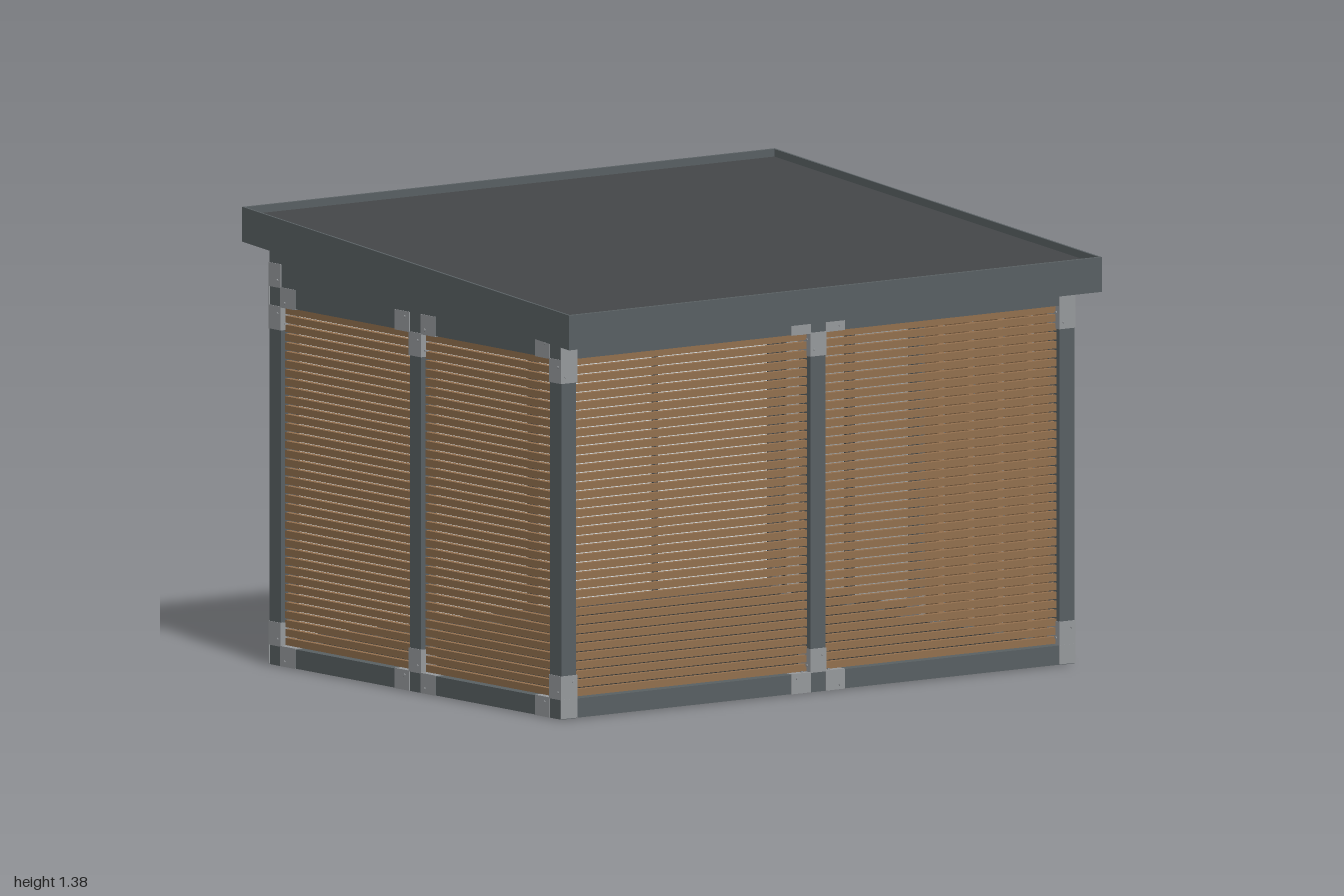
import * as THREE from 'three';

const mat = (color) => new THREE.MeshStandardMaterial({ color });

export function createModel() {
  const root = new THREE.Group();
  const frame = mat(0x5a6164), dark = mat(0x444648), steel = mat(0x989b9e);
  const wood = mat(0x94714f), glassMat = mat(0xdfe7ea), boardMat = mat(0x2e3131);
  const sash = mat(0x45494c);
  const T = 0.056;                 // post and beam thickness
  const X = 0.935, Z = 0.694;      // post centre lines
  const H = 1.115;                 // centre height of the top beams
  const SLOPE = -0.0864;           // roof rise per unit of z

  const group = (name, parent = root) => {
    const g = new THREE.Group();
    g.name = name;
    parent.add(g);
    return g;
  };

  // Box given by its extents; a slope shears it along z.
  const box = (name, parent, m, [x0, x1], [y0, y1], [z0, z1], slope = 0) => {
    const geo = new THREE.BoxGeometry(x1 - x0, y1 - y0, z1 - z0);
    geo.translate((x0 + x1) / 2, (y0 + y1) / 2, (z0 + z1) / 2);
    if (slope) {
      const p = geo.attributes.position;
      for (let i = 0; i < p.count; i++) p.setY(i, p.getY(i) + slope * p.getZ(i));
      geo.computeVertexNormals();
    }
    const mesh = new THREE.Mesh(geo, m);
    mesh.name = name;
    parent.add(mesh);
    return mesh;
  };
  const around = (c, w) => [c - w / 2, c + w / 2];

  // Posts
  const posts = group('posts');
  for (const s of [-1, 1]) {
    box('frontPost', posts, frame, around(s * X, T), [0, 1.142], around(Z, T));
    box('sidePost', posts, frame, around(s * X, T), [0, H], around(0, T));
    box('backPost', posts, frame, around(s * X, T), [0, 1.262], around(-Z, T));
  }
  box('frontMiddlePost', posts, frame, around(0, T), [0, H], around(Z, T));

  // Ring beams at floor and header level, with the raised beam at the back
  const beams = group('beams');
  for (const s of [-1, 1]) {
    for (const y of [0.03, H])
      box('longBeam', beams, frame, [-X, X], around(y, 0.058), around(s * Z, T));
    box('sideBeam', beams, frame, around(s * X, T), [0.001, 0.059], [-Z, Z]);
  }
  box('raisedBackBeam', beams, frame, [-X, X], [1.207, 1.262], around(-Z, T));

  // Side headers with their sloping infill in one flush piece
  for (const s of [-1, 1]) {
    const shape = new THREE.Shape();
    shape.moveTo(-Z, 1.087);
    shape.lineTo(Z, 1.087);
    shape.lineTo(Z, 1.165);
    shape.lineTo(-Z, 1.285);
    const geo = new THREE.ExtrudeGeometry(shape, { depth: T, bevelEnabled: false });
    geo.rotateY(-Math.PI / 2);
    geo.scale(1, 1, 1);
    geo.translate(s * X + T / 2, 0, 0);
    const gable = new THREE.Mesh(geo, frame);
    gable.name = 'gableHeader';
    root.add(gable);
  }

  // Floor boards
  const floor = group('floor');
  const boards = 18, pitch = (2 * Z - T) / boards;
  for (let i = 0; i < boards; i++) {
    const z = -Z + T / 2 + pitch * (i + 0.5);
    box('floorBoard', floor, boardMat, [-X, X], [0.02, 0.055], around(z, pitch - 0.003));
  }

  // Slatted panel in local axes: width along x, centred on the origin
  const slatPanel = (name, width) => {
    const g = group(name);
    const n = 38, step = 1.028 / n;
    for (let i = 0; i < n; i++)
      box('slat', g, wood, around(0, width), around(0.06 + step * (i + 0.5), 0.0215), [-0.006, 0.012]);
    return g;
  };
  for (const s of [-1, 1])
    slatPanel('frontSlatPanel', X - T).position.set(s * X / 2, 0, Z);
  for (const [side, z] of [[1, Z / 2], [-1, Z / 2], [-1, -Z / 2]]) {
    const p = slatPanel('sideSlatPanel', Z - T);
    p.position.set(side * X, 0, z);
    p.rotation.y = side * Math.PI / 2;
  }

  // Row of sliding glass doors; leaves overlap by one stile on two tracks
  const glassDoors = (name, width, count) => {
    const g = group(name);
    const b = 0.019, w = (width + (count - 1) * b) / count, y0 = 0.06, y1 = 1.088;
    for (let i = 0; i < count; i++) {
      const leaf = group('doorLeaf', g);
      leaf.position.set(-width / 2 + w / 2 + (w - b) * i, 0, i % 2 ? -0.011 : 0.011);
      const d = [-0.009, 0.009];
      for (const s of [-1, 1]) box('doorStile', leaf, sash, around(s * (w - b) / 2, b), [y0, y1], d);
      box('doorBottomRail', leaf, sash, around(0, w - 2 * b), [y0, y0 + 0.023], d);
      box('doorTopRail', leaf, sash, around(0, w - 2 * b), [y1 - 0.019, y1], d);
      box('glassPane', leaf, glassMat, around(0, w - b), [y0 + 0.01, y1 - 0.01], [-0.003, 0.003]);
    }
    return g;
  };
  const backDoors = glassDoors('backGlassDoors', 2 * X - T, 4);
  backDoors.position.z = -Z;
  backDoors.rotation.y = Math.PI;
  const sideDoors = glassDoors('sideGlassDoors', Z - T, 2);
  sideDoors.position.set(X, 0, -Z / 2);
  sideDoors.rotation.y = Math.PI / 2;

  // Steel sleeve reaching out from a frame joint, with bolts through it
  const brackets = group('brackets');
  const boltGeo = new THREE.CylinderGeometry(0.004, 0.004, 0.068, 6);
  const sleeve = (x, y, z, dir) => {
    const g = group('bracket', brackets);
    box('sleeve', g, steel, around(0, 0.061), [0.028, 0.1], around(0, 0.061));
    for (const a of [0, 1]) {
      const bolt = new THREE.Mesh(boltGeo, steel);
      bolt.name = 'bolt';
      bolt.position.set(a ? 0 : 0.015, a ? 0.05 : 0.08, a ? 0.015 : 0);
      bolt.rotation.set(a ? 0 : Math.PI / 2, 0, a ? Math.PI / 2 : 0);
      g.add(bolt);
    }
    g.position.set(x, y, z);
    g.quaternion.setFromUnitVectors(new THREE.Vector3(0, 1, 0), new THREE.Vector3(...dir));
  };
  for (const [y, up] of [[0.031, 1], [H, -1]]) {
    for (const s of [-1, 1]) {
      for (const e of [-1, 1]) {
        sleeve(s * X, y, e * Z, [0, up, 0]);
        sleeve(s * X, y, e * Z, [0, 0, -e]);
        sleeve(s * X, y, 0, [0, 0, e]);
        box('cornerPlate', brackets, steel, around(s * X, 0.061), around(y, 0.058), around(e * (Z + 0.029), 0.004));
      }
      sleeve(s * X, y, 0, [0, up, 0]);
      sleeve(0, y, Z, [s, 0, 0]);
    }
    sleeve(0, y, Z, [0, up, 0]);
  }
  for (const s of [-1, 1]) sleeve(s * X, H, -Z, [0, 1, 0]);

  // Roof: recessed sloping panel, rim boards, rafters and their hangers
  const roof = group('roof');
  box('roofPanel', roof, dark, [-0.995, 0.995], [1.255, 1.282], [-0.805, 0.805], SLOPE);
  for (const s of [-1, 1]) {
    box('sideFascia', roof, frame, around(s * 0.996, 0.008), [1.2, 1.305], [-0.81, 0.81], SLOPE);
    box('endFascia', roof, frame, [-0.992, 0.992], [1.2, 1.305], around(s * 0.806, 0.008), SLOPE);
  }
  for (let i = 0; i < 7; i++) {
    const x = -0.81 + i * 0.27;
    box('rafter', roof, frame, around(x, 0.035), [1.204, 1.256], [-0.8, 0.8], SLOPE);
    for (const z of [-Z, Z])
      box('rafterHanger', roof, steel, around(x, 0.05), [1.198, 1.24], around(z, 0.075), SLOPE);
  }
  return root;
}
